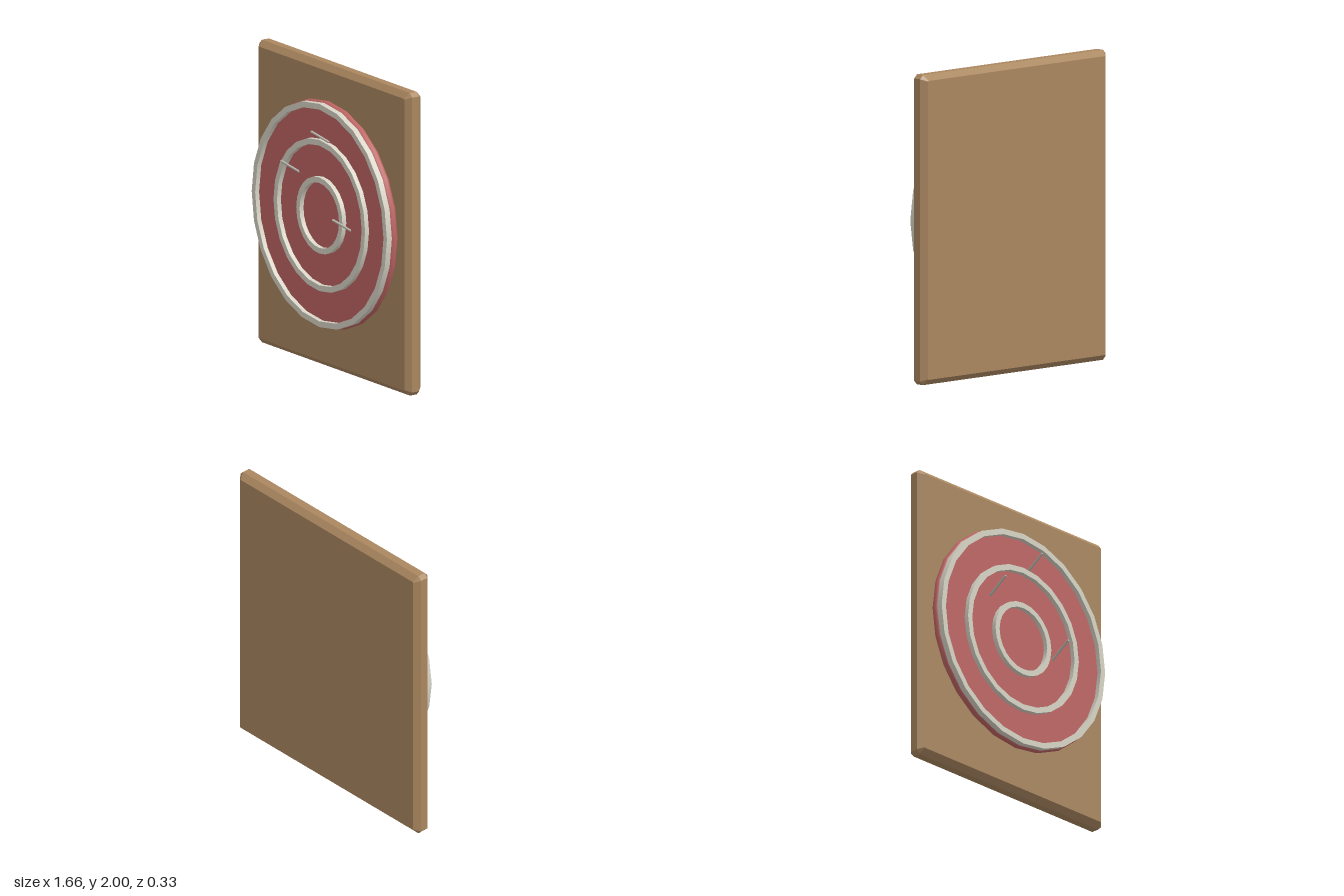
import * as THREE from 'three';

const CENTER_Y = 1.035;
const SIDES = 24;

function material(name, color) {
  const m = new THREE.MeshStandardMaterial({ color });
  m.name = name;
  return m;
}

function mesh(name, geometry, mat) {
  const m = new THREE.Mesh(geometry, mat);
  m.name = name;
  return m;
}

// Rectangle with its corners cut off
function cutRectangle(w, h, c) {
  const x = w / 2, y = h / 2;
  return new THREE.Shape([
    [x - c, -y], [x, -y + c], [x, y - c], [x - c, y],
    [-x + c, y], [-x, y - c], [-x, -y + c], [-x + c, -y],
  ].map(([a, b]) => new THREE.Vector2(a, b)));
}

// Solid turned about the z axis from [radius, z] points, with a corner at the top
function turned(points) {
  const g = new THREE.LatheGeometry(points.map(([r, z]) => new THREE.Vector2(r, z)), SIDES);
  return g.rotateX(Math.PI / 2);
}

export function createModel() {
  const group = new THREE.Group();
  group.name = 'wallTarget';
  const wood = material('wood', 0xa9865f);
  const red = material('red', 0xbd6462);
  const cream = material('cream', 0xd6d2c4);
  const metal = material('metal', 0xbdbbb0);

  // Backing board with chamfered edges
  const bevel = 0.036, depth = 0.126;
  const boardGeometry = new THREE.ExtrudeGeometry(cutRectangle(1.664 - 2 * bevel, 2 - 2 * bevel, 0.004), {
    depth: depth - 2 * bevel, bevelEnabled: true, bevelSegments: 1,
    bevelSize: bevel, bevelThickness: bevel,
  });
  const board = mesh('backingBoard', boardGeometry, wood);
  board.position.set(0, 1, -0.166 + bevel);
  group.add(board);

  // Round target face: flat front and back, rounded rim
  const rim = [];
  for (let i = 0; i <= 6; i++) {
    const a = -Math.PI / 2 + (i / 6) * Math.PI;
    rim.push([0.718 + 0.03 * Math.cos(a), -0.006 + 0.03 * Math.sin(a)]);
  }
  const target = new THREE.Group();
  target.name = 'target';
  target.position.y = CENTER_Y;
  group.add(target);
  target.add(mesh('targetRim', turned(rim), red));
  const front = mesh('targetFront', new THREE.CircleGeometry(0.718, SIDES), red);
  front.position.z = 0.024;
  const back = mesh('targetBack', new THREE.CircleGeometry(0.718, SIDES), red);
  back.rotation.y = Math.PI;
  back.position.z = -0.036;
  target.add(front, back);

  // Raised scoring rings; doubled corner points keep the edges sharp
  for (const [name, outer, inner] of [
    ['outerRing', 0.738, 0.7], ['middleRing', 0.5, 0.462], ['innerRing', 0.252, 0.215],
  ]) {
    const z0 = 0.016, z1 = 0.055;
    const corners = [[outer, z0], [outer, z1], [inner, z1], [inner, z0], [outer, z0]];
    const ring = new THREE.Group();
    ring.name = name;
    ['outside', 'face', 'inside', 'underside'].forEach((part, i) =>
      ring.add(mesh(`${name} ${part}`, turned([corners[i], corners[i + 1]]), cream)));
    target.add(ring);
  }

  // Thin darts stuck in at an upward slant
  const up = new THREE.Vector3(0, 1, 0);
  for (const [x, y] of [[0.063, 1.62], [-0.268, 1.355], [0.297, 1.087]]) {
    const tail = new THREE.Vector3(x, y, 0.163);
    const tip = new THREE.Vector3(x, y - 0.1, 0.012);
    const axis = tail.clone().sub(tip);
    const dart = mesh('dart', new THREE.CylinderGeometry(0.008, 0.008, axis.length(), 8), metal);
    dart.position.copy(tip).addScaledVector(axis, 0.5);
    dart.quaternion.setFromUnitVectors(up, axis.normalize());
    group.add(dart);
  }
  return group;
}
